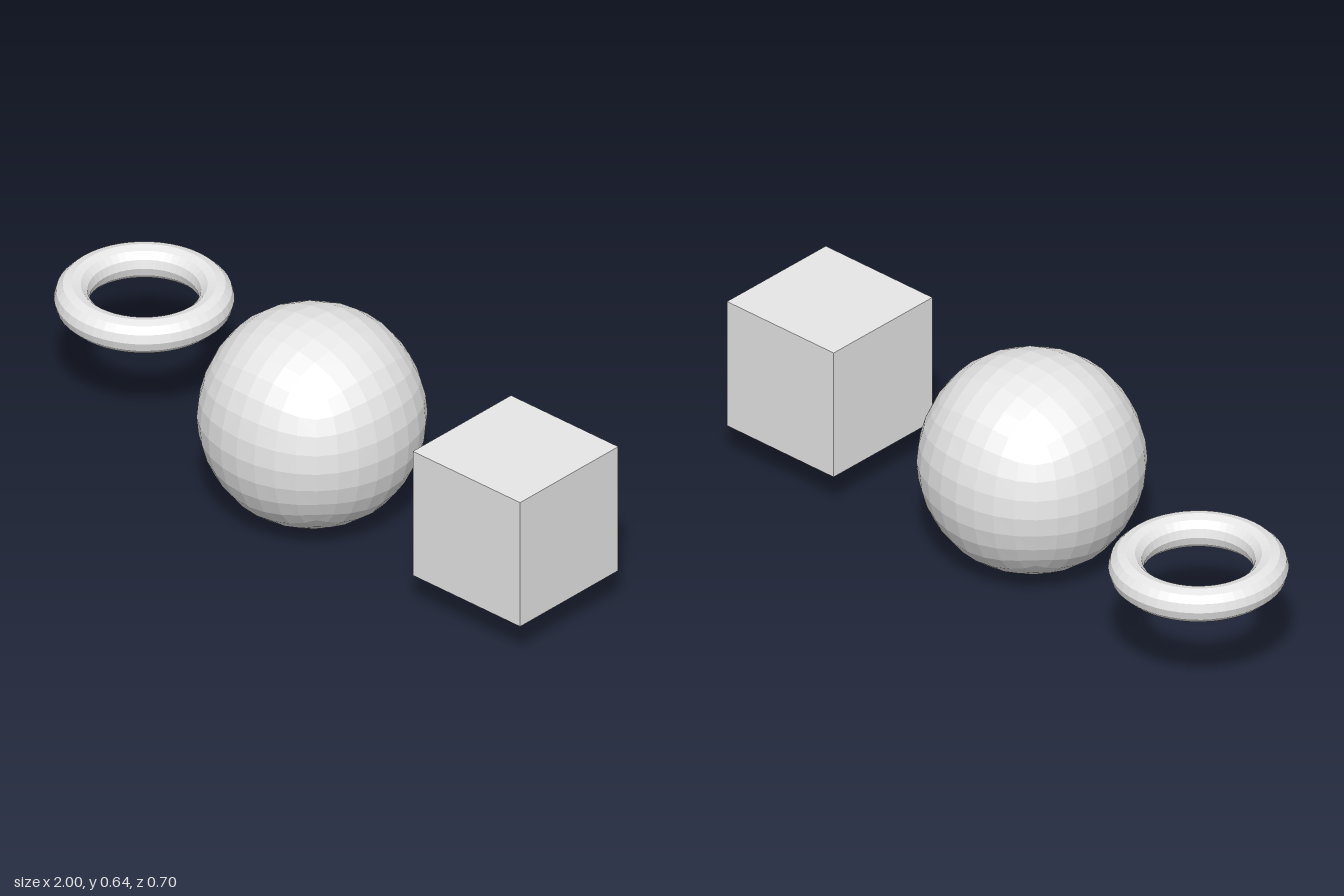
import * as THREE from 'three';

// One Catmull-Clark step on a closed quad mesh
function subdivide({ verts, quads }) {
  const sum = (list) => list.reduce((s, p) => s.add(p), new THREE.Vector3());
  const mean = (list) => sum(list).divideScalar(list.length);
  const out = verts.map(() => null);
  const around = verts.map(() => ({ faces: [], mids: [] }));
  const edges = new Map();
  const key = (a, b) => Math.min(a, b) + '_' + Math.max(a, b);

  // Face centres
  const centres = quads.map((q) => {
    const c = mean(q.map((i) => verts[i]));
    q.forEach((i, k) => {
      around[i].faces.push(c);
      const j = q[(k + 1) % 4];
      const id = key(i, j);
      if (!edges.has(id)) edges.set(id, { a: i, b: j, faces: [] });
      edges.get(id).faces.push(c);
    });
    return out.push(c) - 1;
  });
  // Edge points
  edges.forEach((e) => {
    const ends = [verts[e.a], verts[e.b]];
    const mid = mean(ends);
    around[e.a].mids.push(mid);
    around[e.b].mids.push(mid);
    e.index = out.push(mean([...ends, ...e.faces])) - 1;
  });
  // Smoothed corner points
  verts.forEach((v, i) => {
    const n = around[i].faces.length;
    out[i] = mean(around[i].faces)
      .addScaledVector(mean(around[i].mids), 2)
      .addScaledVector(v, n - 3)
      .divideScalar(n);
  });
  // Four new quads for each old one
  const next = [];
  quads.forEach((q, f) => q.forEach((i, k) => {
    const after = edges.get(key(i, q[(k + 1) % 4])).index;
    const before = edges.get(key(i, q[(k + 3) % 4])).index;
    next.push([i, after, centres[f], before]);
  }));
  return { verts: out, quads: next };
}

// Ball made by smoothing a cube, scaled to the wanted radius along the axes
function smoothedCube(radius, levels) {
  const verts = [];
  for (let i = 0; i < 8; i++) {
    verts.push(new THREE.Vector3(i & 1 ? 1 : -1, i & 2 ? 1 : -1, i & 4 ? 1 : -1));
  }
  let mesh = {
    verts,
    quads: [[4, 5, 7, 6], [1, 0, 2, 3], [5, 1, 3, 7], [0, 4, 6, 2], [6, 7, 3, 2], [0, 1, 5, 4]],
  };
  for (let i = 0; i < levels; i++) mesh = subdivide(mesh);
  const geometry = new THREE.BufferGeometry().setFromPoints(mesh.verts);
  geometry.setIndex(mesh.quads.flatMap(([a, b, c, d]) => [a, b, c, a, c, d]));
  geometry.computeBoundingBox();
  const s = radius / geometry.boundingBox.max.x;
  geometry.scale(s, s, s);
  geometry.computeVertexNormals();
  return geometry;
}

export function createModel() {
  const model = new THREE.Group();
  model.name = 'primitiveShapes';
  const grey = new THREE.MeshStandardMaterial({ color: 0xe7e7e7, flatShading: true });
  grey.name = 'lightGrey';

  function add(name, geometry, x, y, z) {
    const mesh = new THREE.Mesh(geometry, grey);
    mesh.name = name;
    mesh.position.set(x, y, z);
    model.add(mesh);
  }

  // Ring lying flat, ball in the middle, cube on the other side
  add('ring', new THREE.TorusGeometry(0.205, 0.051, 12, 48).rotateX(Math.PI / 2), -0.744, 0.337, -0.094);
  add('ball', smoothedCube(0.318, 3), 0.014, 0.318, 0.031);
  add('cube', new THREE.BoxGeometry(0.411, 0.411, 0.411), 0.794, 0.321, 0.031);
  return model;
}
